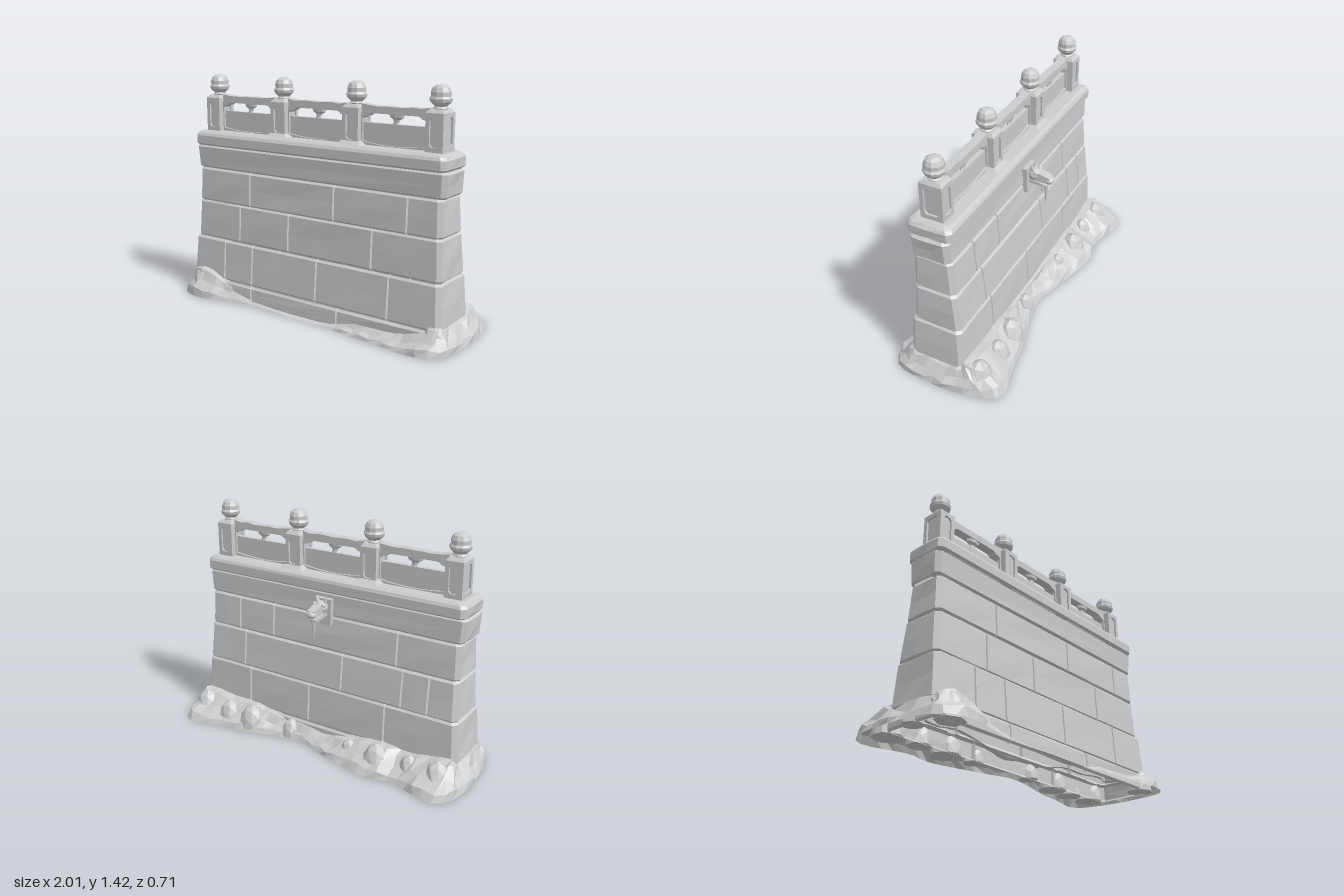
import * as THREE from 'three';

const stone = new THREE.MeshStandardMaterial({ color: 0xcccccc, flatShading: true, side: THREE.DoubleSide });
stone.name = 'pale grey stone';

let seed = 7;
const rnd = () => ((seed = (seed * 16807) % 2147483647) / 2147483647) - 0.5;

function add(parent, name, geo, x = 0, y = 0, z = 0) {
  const m = new THREE.Mesh(geo, stone);
  m.name = name;
  m.position.set(x, y, z);
  parent.add(m);
  return m;
}

// Joins closed rings of [x, y, z] points, optionally closing the last one
function loft(rings, capped = false) {
  const n = rings[0].length, pos = [];
  for (let r = 0; r < rings.length - 1; r++) {
    for (let i = 0; i < n; i++) {
      const j = (i + 1) % n;
      const a = rings[r][i], b = rings[r][j], c = rings[r + 1][j], d = rings[r + 1][i];
      pos.push(...a, ...b, ...c, ...a, ...c, ...d);
    }
  }
  if (capped) {
    const top = rings[rings.length - 1];
    const mid = [0, top[0][1], top.reduce((s, p) => s + p[2], 0) / n];
    top.forEach((p, i) => pos.push(...p, ...top[(i + 1) % n], ...mid));
  }
  const g = new THREE.BufferGeometry();
  g.setAttribute('position', new THREE.Float32BufferAttribute(pos, 3));
  g.computeVertexNormals();
  return g;
}

// Box whose top can be narrower than its base; stands on y = 0
function taperBox(w, h, d, tw = w, td = d) {
  const g = new THREE.BoxGeometry(w, h, d).translate(0, h / 2, 0);
  const p = g.attributes.position;
  for (let i = 0; i < p.count; i++) {
    if (p.getY(i) > h / 2) { p.setX(i, p.getX(i) * tw / w); p.setZ(i, p.getZ(i) * td / d); }
  }
  g.computeVertexNormals();
  return g;
}

// Plan of one course, with a notch at every upright joint
function plan(y, hx, zf, zb, jf, jb, inset) {
  const c = 0.025, g = 0.006, pts = [];
  hx -= inset; zf -= inset; zb += inset;
  const edge = (s, z, joints) => {
    let prev = -s * (hx - c);
    pts.push([prev, y, z]);
    for (const j of joints) {
      pts.push([(prev + j) / 2, y, z + rnd() * 0.006]);
      pts.push([j - s * g, y, z], [j, y, z - s * 0.018], [j + s * g, y, z]);
      prev = j;
    }
    pts.push([(prev + s * hx) / 2, y, z + rnd() * 0.006], [s * (hx - c), y, z]);
    pts.push([s * hx, y, z - s * c]);
    pts.push([s * (hx + rnd() * 0.012), y, (zf + zb) / 2 + rnd() * 0.05]);
    pts.push([s * hx, y, (s > 0 ? zb : zf) + s * c]);
  };
  edge(1, zf, jf);
  edge(-1, zb, jb);
  return pts;
}

// Courses: y, half width, front z and back z at bottom and top, then joints
const courses = [
  [0, 0.11, 0.93, 0.925, 0.248, 0.242, -0.13, -0.13, [-0.4, 0.26], [0.4, -0.3]],
  [0.11, 0.37, 0.922, 0.907, 0.226, 0.207, -0.118, -0.107, [-0.64, -0.41, 0.09, 0.59], [0.55, 0.09, -0.45]],
  [0.37, 0.61, 0.903, 0.892, 0.192, 0.18, -0.105, -0.08, [-0.53, -0.14, 0.46], [0.6, -0.14, -0.55, -0.72]],
  [0.61, 0.825, 0.892, 0.885, 0.182, 0.172, -0.077, -0.061, [-0.45, 0.19, 0.68], [0.65, 0.38, -0.5]],
  [0.825, 0.972, 0.9, 0.91, 0.17, 0.178, -0.059, -0.058, [], []],
];

function buildWall(root) {
  const wall = new THREE.Group();
  wall.name = 'wall';
  root.add(wall);
  courses.forEach(([y0, y1, x0, x1, f0, f1, b0, b1, jf, jb], k) => {
    const b = 0.012 / (y1 - y0);
    const rings = [[0, 0.012], [b, 0], [0.5, 0], [1 - b, 0], [1, 0.012]].map(([t, inset]) => {
      const mix = (a, c) => a + (c - a) * t;
      return plan(mix(y0, y1), mix(x0, x1), mix(f0, f1), mix(b0, b1), jf, jb, inset);
    });
    add(wall, 'stoneCourse' + (k + 1), loft(rings));
  });
  const coping = [[0.972, 0.015], [0.984, 0], [1.035, 0], [1.052, 0.01], [1.064, 0.03]]
    .map(([y, inset]) => plan(y, 0.905, 0.19, -0.08, [], [], inset));
  add(wall, 'coping', loft(coping, true));
}

// Flat frame with a long eight-sided opening
function postFrame(w, h) {
  const s = new THREE.Shape();
  s.moveTo(-w / 2, 0).lineTo(w / 2, 0).lineTo(w / 2, h).lineTo(-w / 2, h).closePath();
  const a = w / 2 - 0.024, lo = 0.035, hi = h - 0.025, c = 0.014;
  const hole = new THREE.Path();
  hole.moveTo(-a, lo + c).lineTo(-a, hi - c).lineTo(-a + c, hi).lineTo(a - c, hi)
    .lineTo(a, hi - c).lineTo(a, lo + c).lineTo(a - c, lo).lineTo(-a + c, lo).closePath();
  s.holes.push(hole);
  return new THREE.ExtrudeGeometry(s, { depth: 0.012, bevelEnabled: false });
}

const ZC = 0.053; // centre line of the balustrade
const postX = [-0.8, -0.265, 0.265, 0.8];

function buildPost(root, x) {
  const post = new THREE.Group();
  post.name = 'post';
  post.position.set(x, 1.055, ZC);
  root.add(post);
  const w = 0.107, d = 0.135, h = 0.218;
  add(post, 'postCore', taperBox(w - 0.024, h, d - 0.024));
  for (let i = 0; i < 4; i++) {
    const side = i % 2;
    const f = add(post, 'postFrame', postFrame(side ? d : w, h));
    const off = (side ? w : d) / 2 - 0.012, a = i * Math.PI / 2;
    f.rotation.y = a;
    f.position.set(Math.sin(a) * off, 0, Math.cos(a) * off);
  }
  add(post, 'postTop', taperBox(w, 0.018, d, 0.08, 0.1), 0, h, 0);
  if (Math.abs(x) < 0.5) add(post, 'postFoot', taperBox(0.19, 0.03, 0.215, w, d), 0, 0, 0);
  // Bud-shaped finial in a cup
  const profile = [[0.035, 0], [0.042, 0.012], [0.034, 0.022], [0.058, 0.045], [0.063, 0.062],
    [0.055, 0.075], [0.056, 0.098], [0.045, 0.122], [0.025, 0.135], [0, 0.138]];
  add(post, 'finial', new THREE.LatheGeometry(profile.map(p => new THREE.Vector2(...p)), 10), 0, h + 0.01, 0);
}

function buildRailing(root, x0, x1) {
  const bay = new THREE.Group();
  bay.name = 'railing';
  bay.position.set((x0 + x1) / 2, 0, ZC);
  root.add(bay);
  const a = (x1 - x0) / 2 - 0.05;
  // Rails with curved corner brackets around the opening
  const s = new THREE.Shape();
  s.moveTo(-a, 1.05).lineTo(a, 1.05).lineTo(a, 1.296);
  for (let i = 1; i < 8; i++) s.lineTo(a - i * a / 4, 1.288 + rnd() * 0.008);
  s.lineTo(-a, 1.296).closePath();
  const o = new THREE.Path(), e = a - 0.008;
  o.moveTo(-e, 1.085).quadraticCurveTo(0, 1.05, e, 1.085).lineTo(e, 1.215)
    .quadraticCurveTo(e - 0.015, 1.23, e - 0.035, 1.228).quadraticCurveTo(e - 0.045, 1.245, e - 0.07, 1.245)
    .lineTo(-e + 0.07, 1.245).quadraticCurveTo(-e + 0.045, 1.245, -e + 0.035, 1.228)
    .quadraticCurveTo(-e + 0.015, 1.23, -e, 1.215).closePath();
  s.holes.push(o);
  add(bay, 'rails', new THREE.ExtrudeGeometry(s, { depth: 0.056, bevelEnabled: false, curveSegments: 6 }), 0, 0, -0.028);
  add(bay, 'panel', taperBox(2 * a, 0.14, 0.03), 0, 1.05, 0);
  // Small vase support in the opening
  const vase = [[0.026, 0], [0.02, 0.012], [0.022, 0.025], [0.045, 0.038], [0.05, 0.056]];
  const v = add(bay, 'vaseSupport', new THREE.LatheGeometry(vase.map(p => new THREE.Vector2(...p)), 8), 0, 1.19, 0);
  v.scale.z = 0.5;
}

function buildSpout(root) {
  const spout = new THREE.Group();
  spout.name = 'spout';
  spout.position.set(-0.005, 0, 0);
  root.add(spout);
  const ball = (name, x, y, z, sx, sy, sz) =>
    add(spout, name, new THREE.IcosahedronGeometry(1, 1), x, y, z).scale.set(sx, sy, sz);
  add(spout, 'backPlate', taperBox(0.1, 0.165, 0.035, 0.11), 0, 0.775, -0.068);
  ball('head', 0, 0.893, -0.11, 0.044, 0.043, 0.045);
  const upper = add(spout, 'upperJaw', taperBox(0.062, 0.09, 0.058, 0.05, 0.04), 0, 0.89, -0.125);
  upper.rotation.x = -Math.PI / 2 - 0.15;
  ball('nose', 0, 0.873, -0.21, 0.034, 0.024, 0.026);
  const lower = add(spout, 'lowerJaw', taperBox(0.052, 0.11, 0.024, 0.04, 0.018), 0, 0.85, -0.085);
  lower.rotation.x = -Math.PI / 2 - 0.2;
  for (const s of [-1, 1]) {
    ball('eye', s * 0.03, 0.915, -0.13, 0.013, 0.013, 0.013);
    const ear = add(spout, 'ear', new THREE.ConeGeometry(0.016, 0.055, 5), s * 0.03, 0.942, -0.105);
    ear.rotation.z = -s * 0.35;
  }
  // Hanging drips under the mouth
  for (const [x, z, r, h] of [[0, -0.185, 0.015, 0.14], [0.018, -0.17, 0.01, 0.07], [-0.018, -0.165, 0.01, 0.05]]) {
    add(spout, 'drip', new THREE.ConeGeometry(r, h, 6).rotateX(Math.PI), x, 0.832 - h / 2, z);
  }
}

function buildRubble(root) {
  // Footprint x, z and the height reached on the wall
  const edge = [[-1, 0.05, 0.12], [-0.93, 0.29, 0.15], [-0.78, 0.345, 0.17], [-0.6, 0.31, 0.1], [-0.4, 0.275, 0.04],
    [-0.1, 0.28, 0.012], [0.2, 0.28, 0.015], [0.35, 0.305, 0.055], [0.6, 0.33, 0.06], [0.77, 0.35, 0.09],
    [0.95, 0.31, 0.14], [1, 0.05, 0.12], [0.98, -0.2, 0.15], [0.93, -0.34, 0.15], [0.86, -0.36, 0.16],
    [0.7, -0.32, 0.14], [0.5, -0.29, 0.14], [0.3, -0.23, 0.1], [0.1, -0.2, 0.09], [-0.05, -0.24, 0.08],
    [-0.2, -0.28, 0.1], [-0.45, -0.33, 0.14], [-0.6, -0.3, 0.12], [-0.9, -0.36, 0.16], [-0.98, -0.28, 0.15]];
  const curve = new THREE.CatmullRomCurve3(edge.map(([x, z, h]) => new THREE.Vector3(x, h, z)), true);
  const outer = curve.getSpacedPoints(80).slice(0, 80);
  const rings = [[0, 0], [0.1, 0.3], [0.4, 0.55], [0.7, 0.9], [1, 1]].map(([t, v]) => outer.map(p => {
    const ix = THREE.MathUtils.clamp(p.x, -0.9, 0.9), iz = THREE.MathUtils.clamp(p.z, -0.1, 0.21);
    const wob = v > 0 && v < 1 ? 0.025 * Math.min(1, p.y * 10) : 0;
    return [p.x + (ix - p.x) * t + rnd() * wob, Math.max(0, p.y * v + rnd() * wob), p.z + (iz - p.z) * t + rnd() * wob];
  }));
  add(root, 'rubbleSkirt', loft(rings));
  // Boulders x, z, radius, height
  const boulders = [[-0.85, -0.19, 0.09, 0.16], [-0.66, -0.17, 0.07, 0.13], [-0.45, -0.19, 0.09, 0.15],
    [-0.25, -0.17, 0.06, 0.11], [0.2, -0.15, 0.06, 0.11], [0.48, -0.19, 0.09, 0.15], [0.66, -0.2, 0.08, 0.14],
    [0.86, -0.19, 0.09, 0.16], [0.88, 0.2, 0.08, 0.15], [-0.82, 0.23, 0.08, 0.17], [-0.9, 0.05, 0.06, 0.13]];
  for (const [x, z, r, h] of boulders) {
    const g = new THREE.IcosahedronGeometry(1, 1), p = g.attributes.position;
    for (let i = 0; i < p.count; i++) {
      const k = 1 + 0.08 * Math.sin(7 * p.getX(i) + 40 * x) * Math.cos(5 * p.getZ(i));
      p.setXYZ(i, p.getX(i) * r * k, Math.max(0, p.getY(i)) * h, p.getZ(i) * r * k);
    }
    g.computeVertexNormals();
    add(root, 'boulder', g, x, 0.004, z);
  }
}

export function createModel() {
  const root = new THREE.Group();
  root.name = 'stoneWall';
  buildWall(root);
  postX.forEach(x => buildPost(root, x));
  for (let i = 0; i < 3; i++) buildRailing(root, postX[i], postX[i + 1]);
  buildSpout(root);
  buildRubble(root);
  return root;
}
